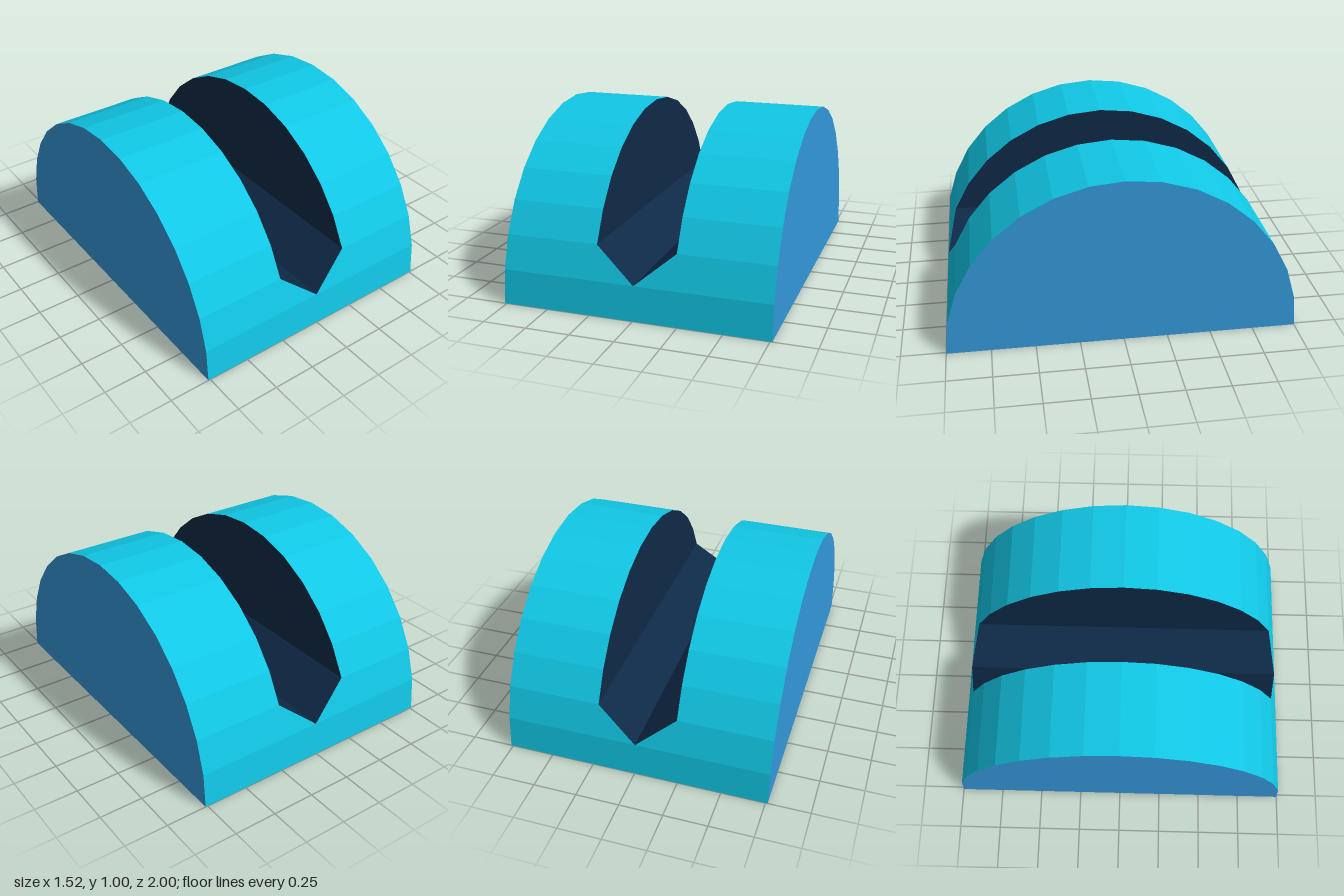
import * as THREE from 'three';

const N = 16;          // facets around the half round
const HALF = 0.762;    // half length of the block
const SLOT = 0.226;    // half width of the groove

const shellMat = new THREE.MeshStandardMaterial({ name: 'cyan', color: 0x11c8e6 });
const endMat = new THREE.MeshStandardMaterial({ name: 'blue', color: 0x3498db });
const slotMat = new THREE.MeshStandardMaterial({ name: 'navy', color: 0x0e2a47 });
const baseMat = new THREE.MeshStandardMaterial({ name: 'black', color: 0x0a0a0a });

// Point on the half round: k = 0 is the front edge, k = N the back edge
const arc = (k, x) => {
  const a = (k * Math.PI) / N;
  return [x, Math.sin(a), Math.cos(a)];
};

// Inner edge of the shell: closed at the lowest facets, then opening into the groove
const inner = (k) => (Math.min(k, N - k) <= 1 ? 0 : SLOT);

// Flat-faced geometry from quads given for +x, mirrored to -x
function mirroredQuads(quads) {
  const pos = [];
  for (const [a, b, c, d] of quads) {
    for (const p of [a, b, c, a, c, d]) pos.push(...p);
    for (const p of [a, c, b, a, d, c]) pos.push(-p[0], p[1], p[2]);
  }
  const g = new THREE.BufferGeometry();
  g.setAttribute('position', new THREE.Float32BufferAttribute(pos, 3));
  g.computeVertexNormals();
  return g;
}

// Flat segment of the half disc between two facet corners, facing +x or -x
function segment(from, to, x, facing) {
  const pts = [];
  for (let k = from; k <= to; k++) {
    const [, y, z] = arc(k, 0);
    pts.push(new THREE.Vector2(z, y));
  }
  return new THREE.ShapeGeometry(new THREE.Shape(pts))
    .rotateY((facing * Math.PI) / 2)
    .translate(x, 0, 0);
}

export function createModel() {
  const model = new THREE.Group();
  model.name = 'groovedHalfRound';
  const add = (name, geometry, material) => {
    const mesh = new THREE.Mesh(geometry, material);
    mesh.name = name;
    model.add(mesh);
  };

  // Curved outer facets, notched by the groove
  const bands = [];
  for (let k = 0; k < N; k++) {
    bands.push([arc(k, inner(k)), arc(k, HALF), arc(k + 1, HALF), arc(k + 1, inner(k + 1))]);
  }
  add('curvedShell', mirroredQuads(bands), shellMat);

  // V-shaped groove floor
  const floor = [[arc(1, 0), arc(2, SLOT), arc(N - 2, SLOT), arc(N - 1, 0)]];
  add('grooveFloor', mirroredQuads(floor), slotMat);

  // Ends and groove walls
  for (const [side, s] of [['left', 1], ['right', -1]]) {
    add(side + 'End', segment(0, N, s * HALF, s), endMat);
    add(side + 'GrooveWall', segment(2, N - 2, s * SLOT, -s), slotMat);
  }

  // Underside
  add('underside', new THREE.PlaneGeometry(2 * HALF, 2).rotateX(Math.PI / 2), baseMat);

  return model;
}
